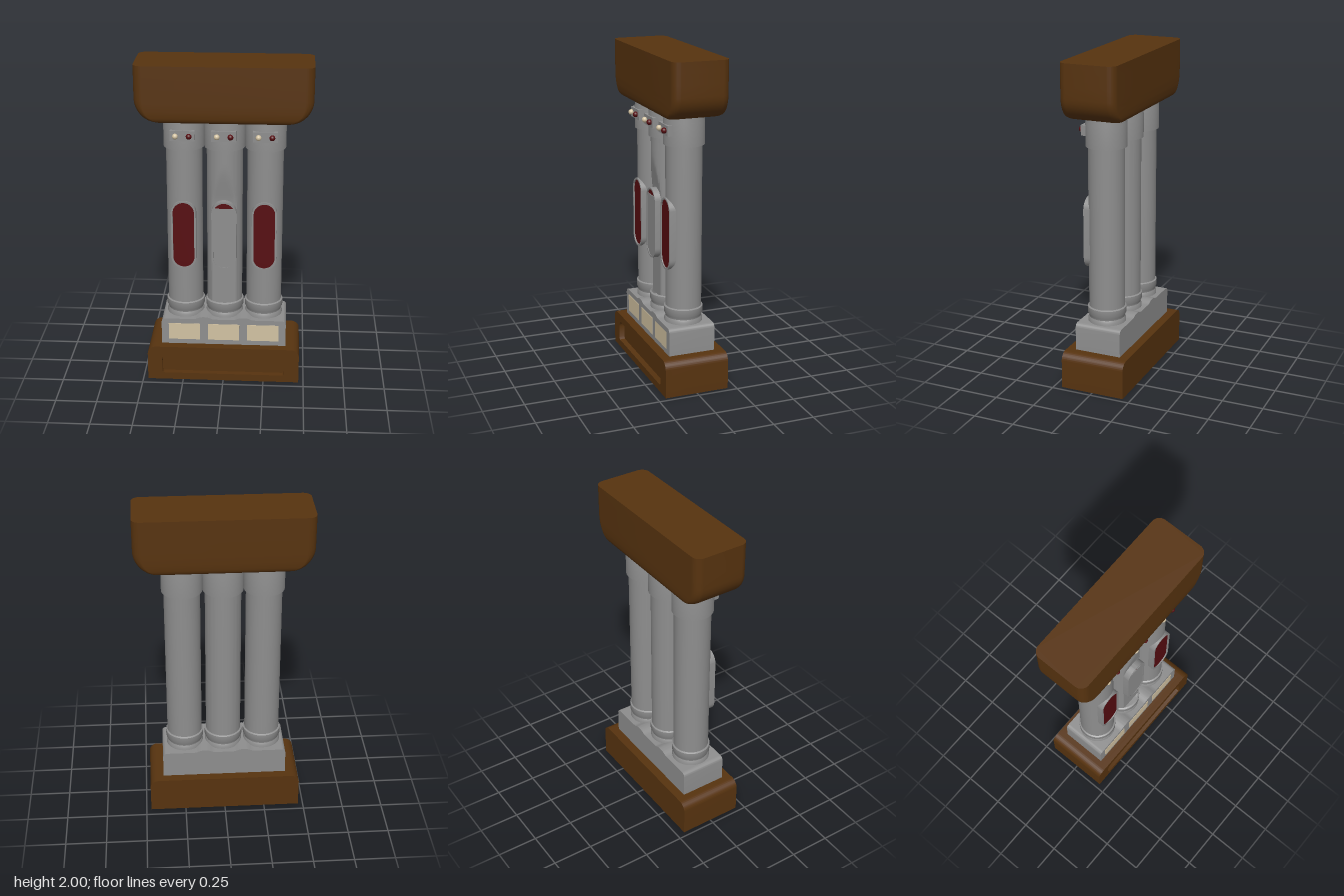
import * as THREE from 'three';
import { toCreasedNormals } from 'three/addons/utils/BufferGeometryUtils.js';

const mat = (name, color) => {
  const m = new THREE.MeshStandardMaterial({ color });
  m.name = name;
  return m;
};

// Rectangle with separate corner radii for its bottom and top
function roundedRect(x0, y0, x1, y1, rb, rt) {
  const s = new THREE.Shape();
  s.moveTo(x0 + rb, y0);
  s.lineTo(x1 - rb, y0);
  if (rb) s.absarc(x1 - rb, y0 + rb, rb, -Math.PI / 2, 0);
  s.lineTo(x1, y1 - rt);
  if (rt) s.absarc(x1 - rt, y1 - rt, rt, 0, Math.PI / 2);
  s.lineTo(x0 + rt, y1);
  if (rt) s.absarc(x0 + rt, y1 - rt, rt, Math.PI / 2, Math.PI);
  s.lineTo(x0, y0 + rb);
  if (rb) s.absarc(x0 + rb, y0 + rb, rb, Math.PI, Math.PI * 1.5);
  return s;
}

// Upright capsule; cut below PI/2 gives it a flat top
function capsule(r, y0, y1, cut = Math.PI / 2) {
  const s = new THREE.Shape();
  s.absarc(0, y0 + r, r, Math.PI, Math.PI * 2);
  s.absarc(0, y1 - r, r, 0, cut);
  s.absarc(0, y1 - r, r, Math.PI - cut, Math.PI);
  return s;
}

function extrude(shape, z0, z1) {
  const g = new THREE.ExtrudeGeometry(shape, { depth: z1 - z0, bevelEnabled: false, curveSegments: 12 });
  return toCreasedNormals(g.translate(0, 0, z0), 0.6);
}

const lathe = (pts) => toCreasedNormals(
  new THREE.LatheGeometry(pts.map(([r, y]) => new THREE.Vector2(r, y)), 48), 0.6);

// Top block: rounded plan, with its underside curving inwards
function topBlockGeometry() {
  const w = 0.52, d = 0.172, R = 0.14, e = 0.03;
  const g = new THREE.ExtrudeGeometry(roundedRect(-w, -d, w, d, 0.05, 0.05),
    { depth: 1, steps: 12, bevelEnabled: false, curveSegments: 8 });
  g.rotateX(-Math.PI / 2);
  const p = g.attributes.position;
  for (let i = 0; i < p.count; i++) {
    const t = p.getY(i);
    const a = Math.min(t / 0.75, 1) * Math.PI / 2;
    const y = t <= 0.75 ? R * (1 - Math.cos(a)) : R + (t - 0.75) / 0.25 * (0.34 - R);
    const k = Math.max(0, 1 - y / e);
    const insetZ = e * (1 - Math.sqrt(1 - k * k));
    p.setXYZ(i, p.getX(i) * (w - R * (1 - Math.sin(a))) / w, 1.66 + y, p.getZ(i) * (d - insetZ) / d);
  }
  return toCreasedNormals(g, 0.7);
}

// Column shaft; the flattened one has a shallow flat front that fades out upwards
function shaftGeometry(flattened) {
  const g = new THREE.CylinderGeometry(0.108, 0.108, 1.01, 64, 24).translate(0, 0.985, 0);
  if (!flattened) return g;
  const p = g.attributes.position;
  for (let i = 0; i < p.count; i++) {
    const limit = THREE.MathUtils.lerp(0.08, 0.108, THREE.MathUtils.clamp((p.getY(i) - 1.15) / 0.2, 0, 1));
    p.setZ(i, Math.min(p.getZ(i), limit));
  }
  return toCreasedNormals(g, 0.4);
}

// Pedestal outline with two low swells between the columns
function pedestalShape() {
  const s = new THREE.Shape();
  s.moveTo(-0.385, 0.22);
  s.lineTo(0.385, 0.22);
  s.lineTo(0.385, 0.365);
  s.quadraticCurveTo(0.385, 0.395, 0.355, 0.395);
  for (const x of [0.122, -0.122]) {
    s.lineTo(x + 0.07, 0.395);
    s.bezierCurveTo(x + 0.04, 0.395, x + 0.04, 0.41, x, 0.41);
    s.bezierCurveTo(x - 0.04, 0.41, x - 0.04, 0.395, x - 0.07, 0.395);
  }
  s.lineTo(-0.355, 0.395);
  s.quadraticCurveTo(-0.385, 0.395, -0.385, 0.365);
  return s;
}

export function createModel() {
  const brown = mat('brown wood', 0x57330f);
  const grey = mat('grey metal', 0x8e8e8e);
  const red = mat('dark red', 0x560c10);
  const cream = mat('cream', 0xd2c2a2);
  const root = new THREE.Group();
  root.name = 'threeColumnStand';
  const add = (parent, name, geometry, material) => {
    const m = new THREE.Mesh(geometry, material);
    m.name = name;
    parent.add(m);
    return m;
  };

  // Base block with a shallow recess in its front
  const baseShape = () => roundedRect(-0.47, 0, 0.47, 0.225, 0, 0.05);
  const rim = baseShape();
  rim.holes.push(roundedRect(-0.38, 0.045, 0.38, 0.175, 0.015, 0.04));
  add(root, 'baseBody', extrude(baseShape(), -0.2, 0.165), brown);
  add(root, 'baseFrontRim', extrude(rim, 0.165, 0.2), brown);

  // Pedestal and top block
  add(root, 'pedestal', extrude(pedestalShape(), -0.145, 0.145), grey);
  add(root, 'topBlock', topBlockGeometry(), brown);

  // Shared column geometries
  const collar = lathe([[0, 0.38], [0.115, 0.38], [0.115, 0.41], [0.108, 0.425], [0.11, 0.437],
    [0.117, 0.45], [0.117, 0.488], [0.107, 0.494]]);
  const cap = lathe([[0.105, 1.48], [0.122, 1.482], [0.122, 1.62], [0.119, 1.64], [0.119, 1.68]]);
  const frameShape = capsule(0.075, 0.725, 1.165);
  frameShape.holes.push(capsule(0.064, 0.736, 1.154));
  const frame = extrude(frameShape, 0.06, 0.118);
  const glass = extrude(capsule(0.066, 0.734, 1.156), 0.106, 0.111);
  const cover = extrude(capsule(0.066, 0.734, 1.156, Math.asin(0.03 / 0.066)), 0.109, 0.115);
  const plate = new THREE.BoxGeometry(0.145, 0.062, 0.05);
  const stem = new THREE.CylinderGeometry(0.009, 0.009, 0.02, 16).rotateX(Math.PI / 2);
  const knob = new THREE.SphereGeometry(0.017, 20, 14);

  for (const [i, side] of ['right', 'middle', 'left'].entries()) {
    const column = new THREE.Group();
    column.name = side + 'Column';
    column.position.x = (i - 1) * 0.243;
    root.add(column);
    const middle = i === 1;
    add(column, 'shaft', shaftGeometry(middle), grey);
    add(column, 'collar', collar, grey);
    add(column, 'cap', cap, grey);

    // Capsule window, covered by a sliding panel on the middle column
    add(column, 'windowFrame', frame, grey);
    add(column, 'windowGlass', glass, red);
    if (middle) add(column, 'windowCover', cover, grey);

    // Control plate with two knobs
    add(column, 'controlPlate', plate, grey).position.set(0, 1.576, 0.104);
    for (const [x, m, n] of [[-0.04, cream, 'creamKnob'], [0.04, red, 'redKnob']]) {
      add(column, 'knobStem', stem, grey).position.set(x, 1.576, 0.132);
      add(column, n, knob, m).position.set(x, 1.576, 0.138);
    }

    // Pedestal label plate
    add(column, 'labelPlate', new THREE.BoxGeometry(0.195, 0.108, 0.006), cream).position.set(0, 0.31, 0.144);
  }
  return root;
}
